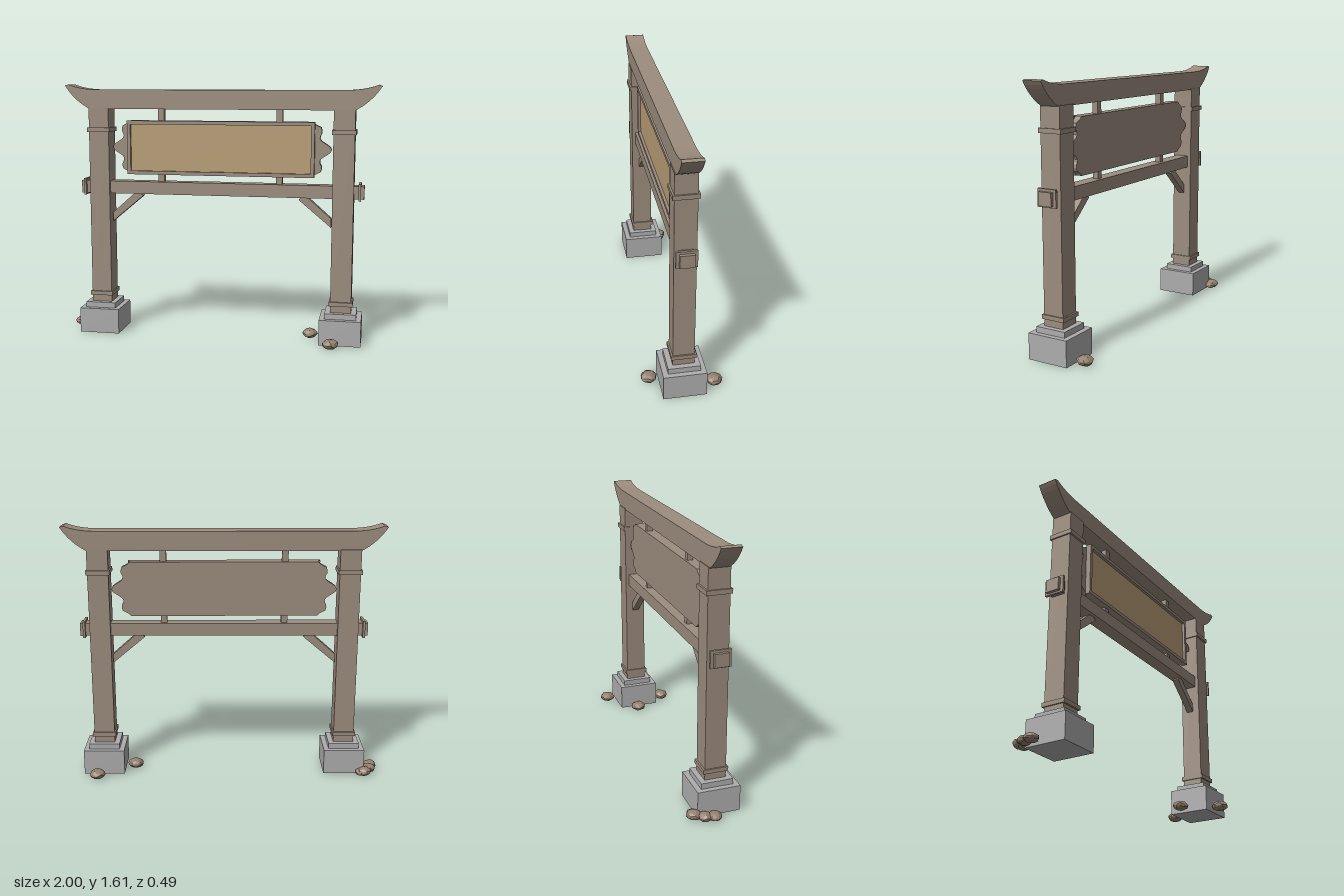
import * as THREE from 'three';

export function createModel() {
  const model = new THREE.Group();
  model.name = 'woodenGate';
  const mat = (name, color, flatShading = false) => {
    const m = new THREE.MeshStandardMaterial({ color, flatShading });
    m.name = name;
    return m;
  };
  const wood = mat('wood', 0x9c8c7e);
  const gold = mat('signPanel', 0xb89e76);
  const stone = mat('stone', 0xadadad);
  const rock = mat('rock', 0x94806f, true);

  const add = (name, geo, material, x = 0, y = 0, z = 0) => {
    const m = new THREE.Mesh(geo, material);
    m.name = name;
    m.position.set(x, y, z);
    model.add(m);
    return m;
  };
  // box from its centre x, bottom, top, centre z and widths
  const box = (name, material, x, y0, y1, w, d, z = 0) =>
    add(name, new THREE.BoxGeometry(w, y1 - y0, d), material, x, (y0 + y1) / 2, z);
  // flat shape extruded between two depths
  const slab = (name, shape, material, z0, z1) =>
    add(name, new THREE.ExtrudeGeometry(shape, { depth: z1 - z0, bevelEnabled: false, curveSegments: 8 }), material, 0, 0, z0);
  const poly = (pts) => new THREE.Shape(pts.map(([x, y]) => new THREE.Vector2(x, y)));

  for (const s of [-1, 1]) {
    const x = s * 0.777;
    // footing and post
    box('footing', stone, x, 0, 0.16, 0.26, 0.262);
    box('footingStep', stone, x, 0.16, 0.195, 0.196, 0.196);
    box('post', wood, x, 0.195, 1.46, 0.13, 0.13);
    box('lowerBand', wood, x, 0.238, 0.264, 0.147, 0.152);
    box('upperBand', wood, x, 1.305, 1.333, 0.147, 0.152);
    // plate on the projecting end of the tie beam
    box('beamEndPlate', wood, s * 0.878, 0.9, 1.005, 0.015, 0.124);
    // hangers above and below the sign
    box('upperHanger', wood, s * 0.378, 1.36, 1.46, 0.04, 0.036);
    box('lowerHanger', wood, s * 0.378, 0.98, 1.06, 0.04, 0.036);
    // diagonal brace
    const brace = [[0.705, 0.725], [0.705, 0.782], [0.56, 0.91], [0.515, 0.91], [0.502, 0.895]];
    slab('brace', poly(brace.map(([px, py]) => [s * px, py])), wood, -0.022, 0.022);
  }

  box('tieBeam', wood, 0, 0.91, 0.99, 1.81, 0.086);

  // top beam with upswept ends
  const top = new THREE.Shape();
  top.moveTo(-0.84, 1.452);
  top.lineTo(0.84, 1.452);
  top.quadraticCurveTo(0.94, 1.505, 0.998, 1.598);
  top.lineTo(0.975, 1.605);
  top.quadraticCurveTo(0.9, 1.574, 0.78, 1.573);
  top.lineTo(-0.78, 1.573);
  top.quadraticCurveTo(-0.9, 1.574, -0.975, 1.605);
  top.lineTo(-0.998, 1.598);
  top.quadraticCurveTo(-0.94, 1.505, -0.84, 1.452);
  slab('topBeam', top, wood, -0.06, 0.06);

  // sign board with scalloped ends, listed from the centre up one side
  const cy = 1.207;
  const edge = [[0.7, 0], [0.693, 0.017], [0.675, 0.03], [0.655, 0.043], [0.637, 0.055],
    [0.628, 0.07], [0.63, 0.085], [0.638, 0.1], [0.64, 0.118], [0.634, 0.138], [0.615, 0.147], [0.595, 0.158], [0.585, 0.171]];
  const upper = edge.concat(edge.map(([x, y]) => [-x, y]).reverse());
  const lower = upper.slice(1, -1).map(([x, y]) => [x, -y]).reverse();
  slab('signBoard', poly(upper.concat(lower).map(([x, y]) => [x, cy + y])), wood, -0.03, 0.01);

  // raised frame around the recessed panel
  const rect = (w, h) => [[-w, cy - h], [w, cy - h], [w, cy + h], [-w, cy + h]];
  const frame = poly(rect(0.597, 0.171));
  frame.holes.push(poly(rect(0.575, 0.148).reverse()));
  slab('signFrame', frame, wood, 0.01, 0.042);
  box('signPanel', gold, 0, cy - 0.148, cy + 0.148, 1.15, 0.009, 0.02);

  // loose rocks: x, z, radius
  const rocks = [[0.815, -0.195, 0.049], [0.725, 0.19, 0.049], [0.582, -0.025, 0.048],
    [-0.958, -0.045, 0.042], [-0.945, -0.1, 0.042], [-0.91, -0.155, 0.045], [-0.885, -0.155, 0.036]];
  rocks.forEach(([x, z, r], i) => {
    const g = new THREE.IcosahedronGeometry(1, 1);
    const p = g.attributes.position;
    const v = new THREE.Vector3();
    for (let k = 0; k < p.count; k++) {
      v.fromBufferAttribute(p, k);
      v.multiplyScalar(1 + 0.07 * Math.sin(4 * v.x + 3 * v.y + 5 * v.z + i));
      v.y = Math.max(v.y, -0.85);
      p.setXYZ(k, v.x, v.y, v.z);
    }
    g.computeVertexNormals();
    const m = add('rock', g, rock, x, 0.6 * r, z);
    m.scale.set(r, 0.64 * r, r);
    m.rotation.y = i * 1.3;
  });

  return model;
}
